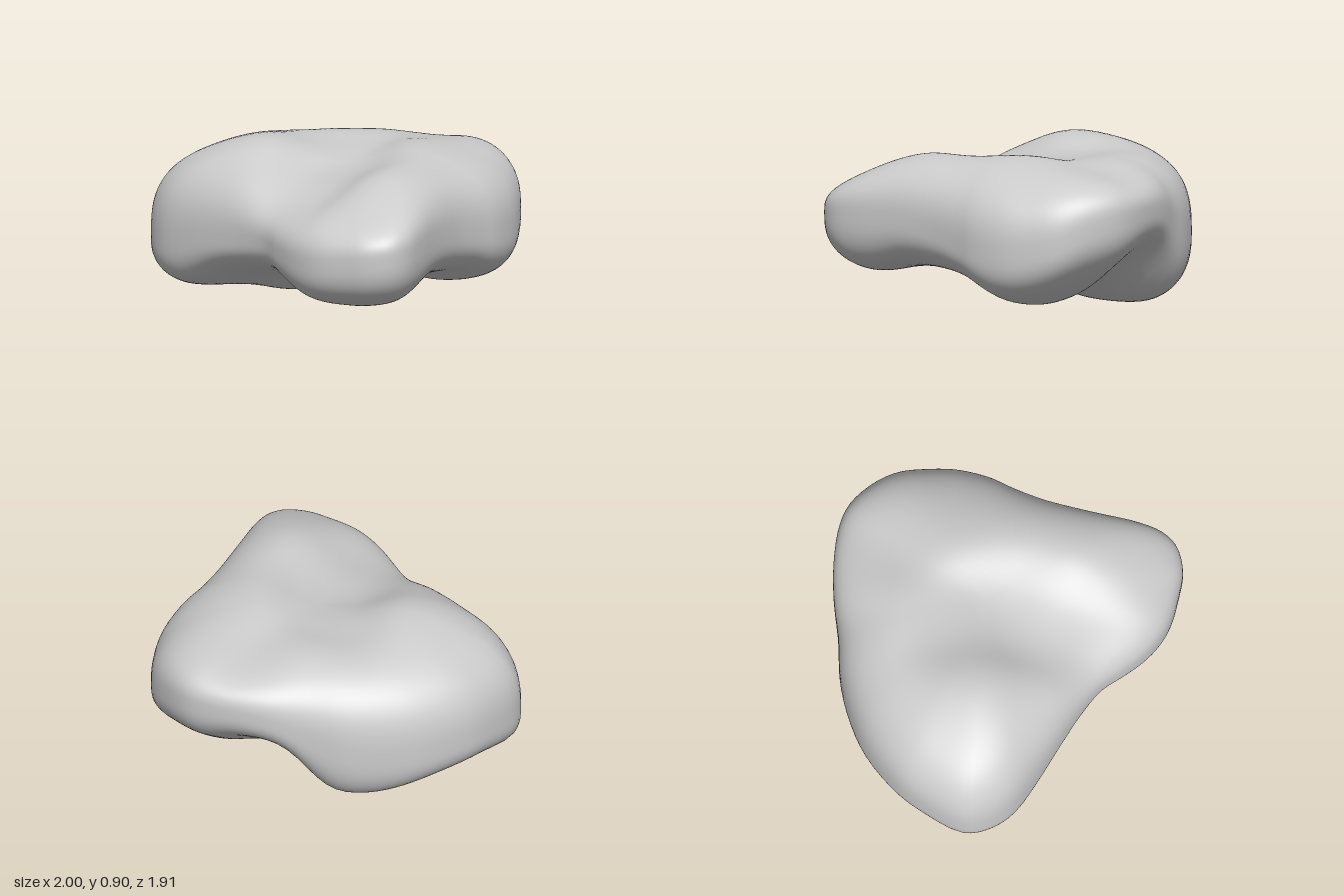
import * as THREE from 'three';
import { mergeVertices } from 'three/addons/utils/BufferGeometryUtils.js';

// Widest outline of the stone: x, height, z
const RIM = [
  [-1, 0.36, -0.18], [-0.9, 0.4, -0.42], [-0.8, 0.41, -0.56], [-0.6, 0.4, -0.73],
  [-0.4, 0.41, -0.83], [-0.2, 0.45, -0.89], [0, 0.53, -0.91], [0.2, 0.62, -0.945],
  [0.4, 0.66, -0.955], [0.6, 0.66, -0.935], [0.72, 0.65, -0.89], [0.85, 0.6, -0.78],
  [0.95, 0.52, -0.64], [0.99, 0.47, -0.48], [1, 0.45, -0.32], [0.96, 0.46, -0.13],
  [0.9, 0.48, 0], [0.82, 0.53, 0.2], [0.76, 0.57, 0.45], [0.72, 0.58, 0.7],
  [0.68, 0.57, 0.83], [0.61, 0.56, 0.91], [0.48, 0.54, 0.95], [0.35, 0.52, 0.935],
  [0.2, 0.5, 0.9], [0.1, 0.49, 0.85], [0, 0.49, 0.77], [-0.1, 0.49, 0.66],
  [-0.2, 0.5, 0.54], [-0.35, 0.48, 0.43], [-0.5, 0.45, 0.34], [-0.7, 0.4, 0.22],
  [-0.88, 0.36, 0.09], [-0.97, 0.35, -0.04],
];

// Humps and hollows of the upper side: x, z, height
const TOP = [
  [-0.4, -0.1, 0.98], [-0.75, -0.2, 0.93], [-0.5, -0.5, 0.94], [-0.45, 0.2, 0.89],
  [-0.03, 0.15, 0.78], [0.2, 0.1, 0.82], [0, -0.3, 0.86], [0, -0.7, 0.95],
  [0.57, -0.05, 0.96], [0.85, -0.1, 0.92], [0.54, 0.3, 0.96], [0.47, 0.6, 0.9],
  [0.4, 0.85, 0.77], [0, 0.5, 0.74], [0.65, -0.4, 0.94], [0.45, -0.7, 0.86],
  [0.75, -0.75, 0.97], [0.85, -0.35, 0.91], [0.2, -0.85, 0.93],
];

// Lobes and hollows of the underside: x, z, height
const BOTTOM = [
  [-0.25, -0.5, -0.02], [-0.6, -0.1, 0.04], [-0.88, -0.05, -0.02], [-0.4, 0.12, 0.18],
  [-0.5, -0.5, 0.02], [-0.75, -0.45, 0.09], [0, -0.4, 0.08], [-0.2, -0.75, -0.08],
  [0.24, -0.5, 0.23], [0.2, 0, 0.28], [0.3, -0.85, 0.4], [0.55, -0.48, 0.08],
  [0.76, -0.43, 0.08], [0.75, -0.75, 0.28], [0.6, 0, 0.24], [0.45, 0.35, 0.27],
  [0.5, 0.75, 0.15], [0.2, 0.75, 0.14], [0, 0.4, 0.3], [-0.3, 0.3, 0.28],
];

// Smoothly blended height at (x, z)
function blend(points, x, z) {
  let sum = 0, weight = 0;
  for (const [px, pz, h] of points) {
    const w = Math.exp(-((x - px) ** 2 + (z - pz) ** 2) / (2 * 0.18 ** 2)) + 1e-9;
    sum += w * h;
    weight += w;
  }
  return sum / weight;
}

export function createModel() {
  const rim = new THREE.CatmullRomCurve3(RIM.map((p) => new THREE.Vector3(...p)), true);
  const centre = new THREE.Vector3(0.15, 0.5, -0.1);
  const fullness = 0.7; // below 1 gives a plumper edge than an ellipse

  // Remap a sphere: its equator follows the rim, its caps the two height fields
  const sphere = new THREE.SphereGeometry(1, 112, 72);
  const pos = sphere.attributes.position, uv = sphere.attributes.uv;
  const p = new THREE.Vector3();
  for (let i = 0; i < pos.count; i++) {
    const phi = (1 - uv.getY(i)) * Math.PI;
    const u = THREE.MathUtils.euclideanModulo(1 - uv.getX(i), 1);
    const spread = Math.abs(Math.sin(phi)) ** fullness;
    const rise = Math.abs(Math.cos(phi)) ** fullness;
    p.copy(centre).lerp(rim.getPoint(u), spread);
    const target = blend(phi < Math.PI / 2 ? TOP : BOTTOM, p.x, p.z);
    pos.setXYZ(i, p.x, p.y + (target - p.y) * rise, p.z);
  }
  sphere.deleteAttribute('uv');
  sphere.deleteAttribute('normal');
  const geometry = mergeVertices(sphere, 1e-4);

  // Rest on the ground
  geometry.computeBoundingBox();
  geometry.translate(0, -geometry.boundingBox.min.y, 0);
  geometry.computeVertexNormals();

  const stone = new THREE.Mesh(geometry, new THREE.MeshStandardMaterial({ color: 0xcccccc }));
  stone.name = 'stone';
  const group = new THREE.Group();
  group.name = 'smoothStone';
  group.add(stone);
  return group;
}
